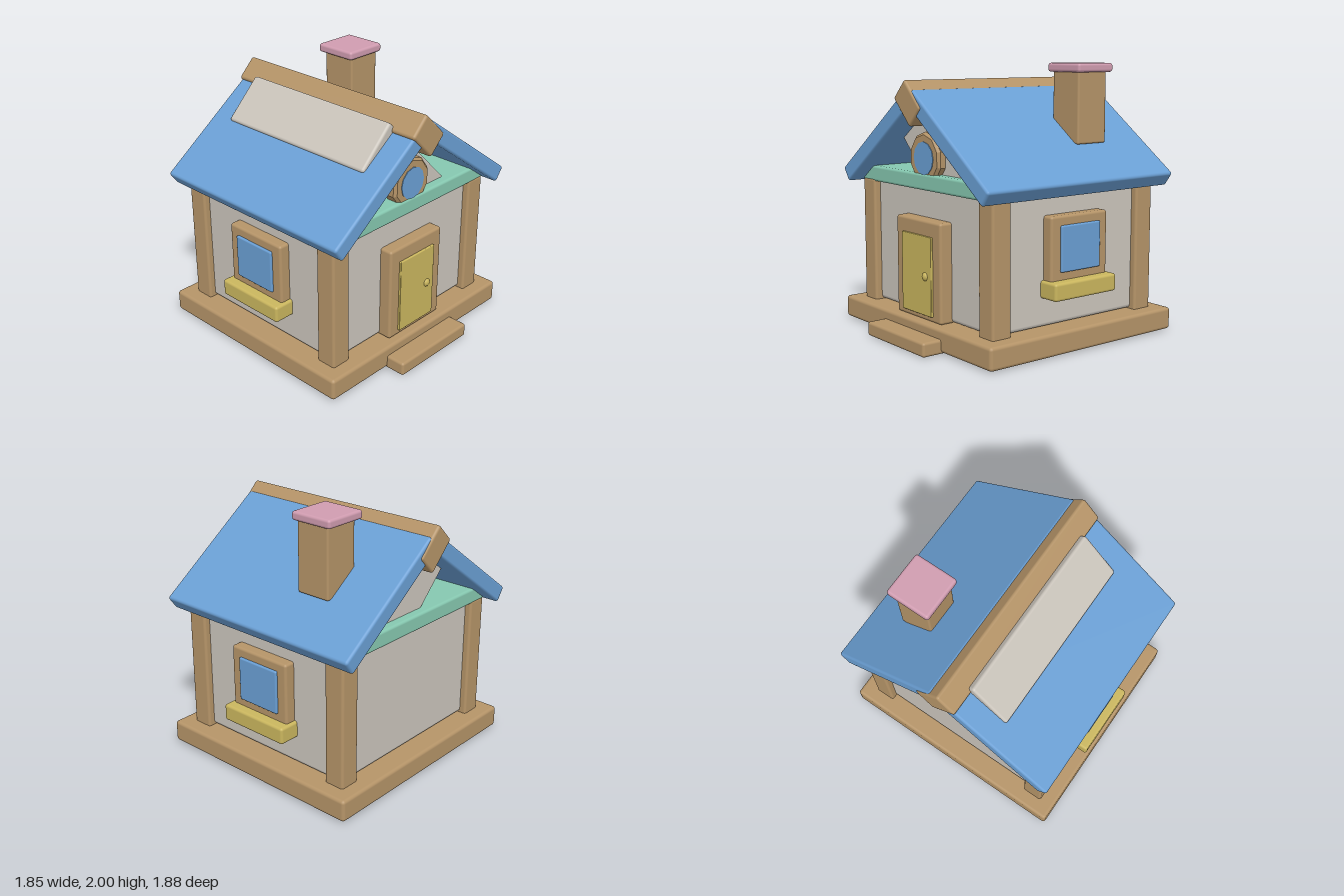
import * as THREE from 'three';
import { RoundedBoxGeometry } from 'three/addons/geometries/RoundedBoxGeometry.js';

const material = (name, color) => Object.assign(new THREE.MeshStandardMaterial({ color }), { name });

export function createModel() {
  const wood = material('wood', 0xb59468);
  const plaster = material('plaster', 0xcbc5bc);
  const blue = material('blue', 0x6a9fd4);
  const green = material('green', 0x86c8b0);
  const yellow = material('yellow', 0xcab65e);
  const pink = material('pink', 0xd09cb0);

  const house = new THREE.Group();
  house.name = 'house';

  const add = (name, geometry, mat, x = 0, y = 0, z = 0) => {
    const mesh = new THREE.Mesh(geometry, mat);
    mesh.name = name;
    mesh.position.set(x, y, z);
    house.add(mesh);
    return mesh;
  };
  // Soft-edged box given by its minimum and maximum on each axis
  const block = (name, mat, [x0, x1], [y0, y1], [z0, z1], bevel = 0.02) =>
    add(name, new RoundedBoxGeometry(x1 - x0, y1 - y0, z1 - z0, 2, bevel), mat,
      (x0 + x1) / 2, (y0 + y1) / 2, (z0 + z1) / 2);
  // Soft-edged box tilted about z
  const beam = (name, mat, [w, h], [x, y], [z0, z1], angle) => {
    const mesh = add(name, new RoundedBoxGeometry(w, h, z1 - z0, 2, 0.02), mat, x, y, (z0 + z1) / 2);
    mesh.rotation.z = angle;
    return mesh;
  };

  // Ground slab, step and walls
  block('base', wood, [-0.925, 0.925], [0.01, 0.175], [-0.93, 0.79], 0.025);
  block('step', wood, [-0.365, 0.365], [0, 0.105], [0.6, 0.94]);
  block('walls', plaster, [-0.76, 0.76], [0.18, 1.14], [-0.77, 0.63], 0.03);
  block('atticFloor', green, [-0.82, 0.82], [1.1, 1.22], [-0.82, 0.68]);

  // Corner posts
  for (const s of [-1, 1]) {
    for (const z of [-0.74, 0.602]) {
      block('cornerPost', wood, [s * 0.73 - 0.08, s * 0.73 + 0.08], [0.16, 1.12], [z - 0.081, z + 0.081]);
    }
  }

  // Attic block leaning at 45 degrees, its upper end breaking through the roof
  beam('atticBlock', plaster, [0.92, 0.39], [0.007, 1.358], [-0.75, 0.61], -Math.PI / 4);

  // Roof panels and ridge beam
  for (const s of [-1, 1]) {
    beam('roofPanel', blue, [1.08, 0.125], [s * 0.44, 1.458], [-0.935, 0.8], -s * Math.PI / 5);
  }
  beam('ridgeBeam', wood, [0.28, 0.195], [-0.005, 1.725], [-0.945, 0.81], -Math.PI / 4);

  // Chimney
  block('chimney', wood, [0.345, 0.62], [1.42, 1.96], [-0.52, -0.245], 0.015);
  block('chimneyCap', pink, [0.31, 0.65], [1.935, 2], [-0.56, -0.22]);

  // Door
  block('doorFrame', wood, [-0.277, 0.277], [0.175, 0.9], [0.6, 0.728]);
  block('door', yellow, [-0.185, 0.185], [0.215, 0.79], [0.66, 0.745], 0.006);
  add('doorKnob', new THREE.SphereGeometry(0.033, 12, 8), yellow, 0.11, 0.5, 0.738).scale.z = 0.8;

  // Round gable window: chamfered ring with a glass disc
  const ringProfile = [[0.11, -0.06], [0.17, -0.06], [0.19, -0.04], [0.19, 0.04], [0.17, 0.06], [0.11, 0.06], [0.11, -0.06]]
    .map(([r, y]) => new THREE.Vector2(r, y));
  const ringGeometry = new THREE.LatheGeometry(ringProfile, 10).toNonIndexed();
  ringGeometry.computeVertexNormals();
  add('roundWindowFrame', ringGeometry, wood, 0, 1.33, 0.61).rotation.x = Math.PI / 2;
  add('roundWindowGlass', new THREE.CylinderGeometry(0.12, 0.12, 0.13, 12), blue, 0, 1.33, 0.61).rotation.x = Math.PI / 2;

  // Side windows with sills
  for (const s of [-1, 1]) {
    const span = (a, b) => (s > 0 ? [a, b] : [-b, -a]);
    block('windowFrame', wood, span(0.72, 0.842), [0.49, 0.968], [-0.33, 0.198]);
    block('windowGlass', blue, span(0.78, 0.86), [0.57, 0.9], [-0.25, 0.115], 0.012);
    block('windowSill', yellow, span(0.74, 0.918), [0.388, 0.515], [-0.355, 0.222]);
  }
  return house;
}
